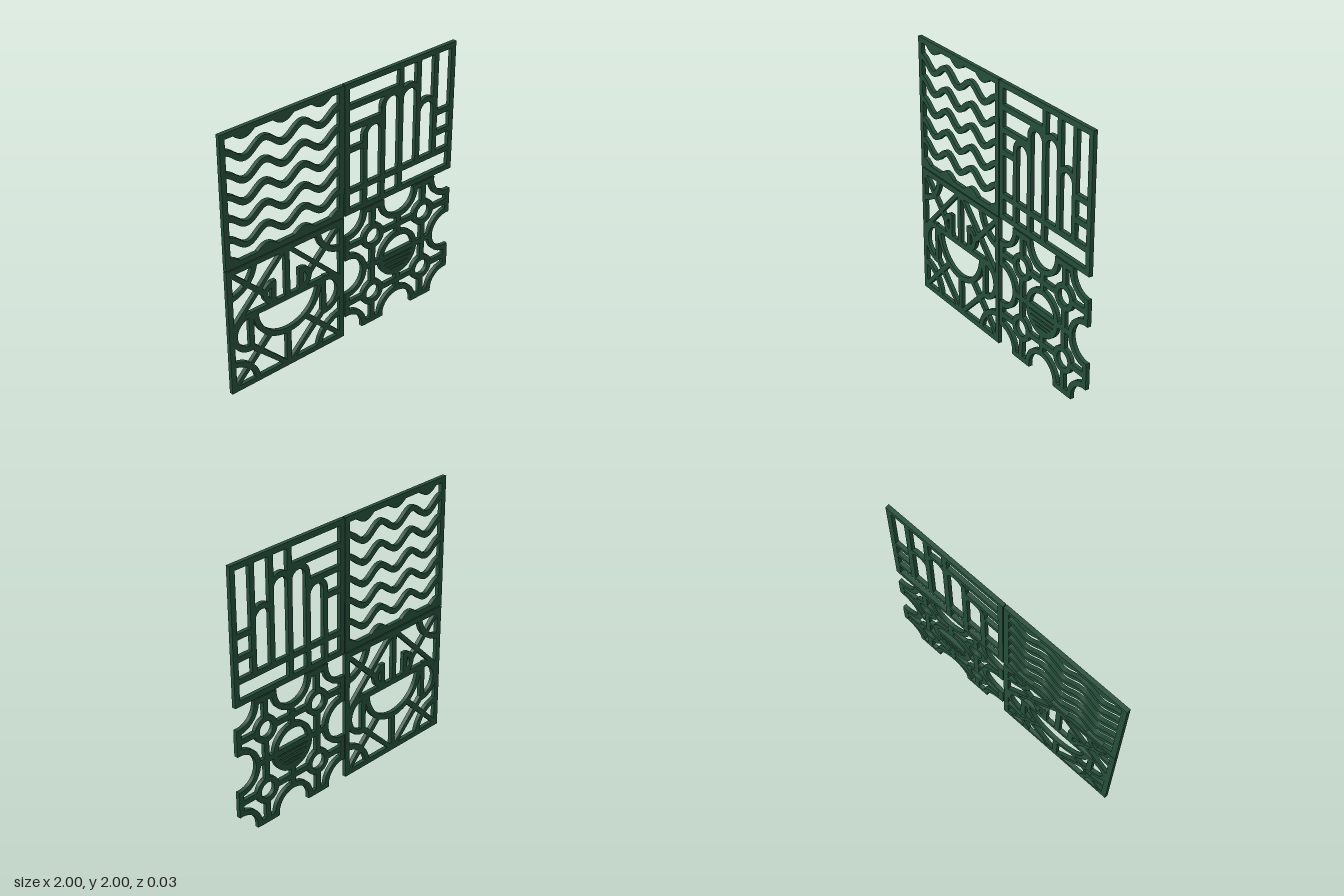
import * as THREE from 'three';

const H = 0.498;      // half size of one panel
const W = 0.042;      // strip width
const DEPTH = 0.03;   // panel thickness
const PI = Math.PI;

export function createModel() {
  const model = new THREE.Group();
  const green = new THREE.MeshStandardMaterial({ color: 0x254d39 });

  const panel = (name, sx, sy) => {
    const g = new THREE.Group();
    g.name = name;
    g.position.set(sx * 0.502, 1 + sy * 0.502, 0);
    model.add(g);
    return g;
  };

  // Flat strip of even width along a centreline, trimmed to the panel edge
  const strip = (parent, name, pts, limit = H, width = W) => {
    const left = [], right = [];
    const clamp = v => THREE.MathUtils.clamp(v, -limit, limit);
    pts.forEach(([x, y], i) => {
      const a = pts[Math.max(i - 1, 0)], b = pts[Math.min(i + 1, pts.length - 1)];
      const dx = b[0] - a[0], dy = b[1] - a[1], k = width / 2 / Math.hypot(dx, dy);
      left.push(new THREE.Vector2(clamp(x - dy * k), clamp(y + dx * k)));
      right.unshift(new THREE.Vector2(clamp(x + dy * k), clamp(y - dx * k)));
    });
    const geo = new THREE.ExtrudeGeometry(new THREE.Shape([...left, ...right]), { depth: DEPTH, bevelEnabled: false });
    geo.translate(0, 0, -DEPTH / 2);
    const mesh = new THREE.Mesh(geo, green);
    mesh.name = name;
    parent.add(mesh);
  };
  const bar = (parent, name, x0, y0, x1, y1, width) => strip(parent, name, [[x0, y0], [x1, y1]], H, width);
  const arc = (parent, name, cx, cy, r, a0, a1) => {
    const n = Math.ceil((a1 - a0) * 9), pts = [];
    for (let i = 0; i <= n; i++) {
      const a = a0 + (a1 - a0) * i / n;
      pts.push([cx + r * Math.cos(a), cy + r * Math.sin(a)]);
    }
    strip(parent, name, pts);
  };
  const ring = (parent, name, cx, cy, r) => {
    const s = new THREE.Shape().absarc(cx, cy, r + W / 2, 0, 2 * PI);
    s.holes.push(new THREE.Path().absarc(cx, cy, r - W / 2, 0, 2 * PI, true));
    const geo = new THREE.ExtrudeGeometry(s, { depth: DEPTH, bevelEnabled: false, curveSegments: 48 });
    geo.translate(0, 0, -DEPTH / 2);
    const mesh = new THREE.Mesh(geo, green);
    mesh.name = name;
    parent.add(mesh);
  };
  const frame = (parent) => {
    const e = H - W / 2;
    for (const s of [-1, 1]) {
      bar(parent, 'frameRail', -H, s * e, H, s * e);
      bar(parent, 'frameStile', s * e, -H, s * e, H);
    }
  };

  // Wave panel; the outermost waves only peek out of the frame
  const waves = panel('wavePanel', -1, 1);
  frame(waves);
  for (let k = -3; k <= 3; k++) {
    const pts = [];
    for (let i = 0; i <= 120; i++) {
      const x = -0.48 + 0.96 * i / 120;
      pts.push([x, k * 0.159 - 0.042 * Math.cos(2 * PI * x / 0.31)]);
    }
    strip(waves, 'wave', pts, H - 0.008);
  }

  // Arch panel on a regular grid
  const arches = panel('archPanel', 1, 1);
  frame(arches);
  const u = 0.16;
  bar(arches, 'lowerRail', -0.48, -2 * u, 0.48, -2 * u);
  for (const [x, y0, y1] of [[-2 * u, -0.48, 0.06], [-u, -0.48, 0.22], [0, -0.48, 0.48],
    [u, -2 * u, 0.48], [2 * u, -2 * u, 0.48]]) bar(arches, 'upright', x, y0, x, y1);
  for (const [y, x0, x1] of [[2 * u, -0.48, 0], [u, -0.48, -u], [0, -0.48, -2 * u],
    [0, 2 * u, 0.48], [-u, 2 * u, 0.48]]) bar(arches, 'crossbar', x0, y, x1, y);
  for (const [x, y] of [[-0.24, 0.06], [-0.08, 0.22], [0.08, 0.22], [0.24, 0.06]])
    arc(arches, 'arch', x, y, 0.08, 0, PI);

  // Bowl panel with mirrored diagonals, handles and corner arcs
  const bowl = panel('bowlPanel', -1, -1);
  frame(bowl);
  bar(bowl, 'bowlRim', -0.37, 0.08, 0.37, 0.08);
  arc(bowl, 'bowlBody', 0, 0.08, 0.274, PI, 2 * PI);
  bar(bowl, 'upperPost', 0, 0.08, 0, 0.48);
  bar(bowl, 'lowerPost', 0, -0.194, 0, -0.48);
  for (const s of [-1, 1]) {
    const a = s < 0 ? PI / 2 : -PI / 2;
    arc(bowl, 'handle', s * 0.313, -0.053, 0.139, a, a + PI);
    bar(bowl, 'handlePost', s * 0.313, -0.19, s * 0.313, 0.08);
    arc(bowl, 'curl', s * 0.118, 0.178, 0.069, a - (s > 0 ? 0.35 : 0), a + PI + (s < 0 ? 0.35 : 0));
    bar(bowl, 'curlPost', s * 0.118, 0.09, s * 0.118, 0.267);
    bar(bowl, 'upperDiagonal', s * 0.49, 0.49, s * 0.178, 0.178);
    bar(bowl, 'lowerDiagonal', s * 0.49, -0.49, s * 0.15, -0.15);
    bar(bowl, 'upperBrace', 0, 0.495, s * 0.495, 0);
    bar(bowl, 'lowerBrace', 0, -0.495, s * 0.315, -0.18);
    for (const t of [-1, 1]) {
      const mid = Math.atan2(-t, -s);
      arc(bowl, 'cornerArc', s * H, t * H, 0.23, mid - PI / 4, mid + PI / 4);
    }
  }

  // Ring lattice: large and small rings alternate, joined by bars
  const lattice = panel('latticePanel', 1, -1);
  const p = 0.477, h = p / 2, R = 0.16, r = 0.08;
  for (let i = -1; i <= 1; i++) for (let j = -1; j <= 1; j++) {
    if (!i && !j) { ring(lattice, 'centreRing', 0, 0, R); continue; }
    const mid = Math.atan2(-j, -i), half = (i && j ? PI / 4 : PI / 2) + 0.13;
    arc(lattice, 'edgeRing', i * p, j * p, R, mid - half, mid + half);
  }
  for (const i of [-1, 1]) for (const j of [-1, 1]) ring(lattice, 'smallRing', i * h, j * h, r);
  const both = (at, from, to) => {
    bar(lattice, 'latticeBar', from, at, to, at);
    bar(lattice, 'latticeBar', at, from, at, to);
  };
  for (const at of [-p, 0, p]) {
    both(at, -p + R, -R);
    both(at, R, p - R);
  }
  for (const at of [-h, h]) {
    both(at, -p - W / 2, -h - r);
    both(at, -h + r, h - r);
    both(at, h + r, p + W / 2);
  }
  // Centre bar and the thinning slats below it
  bar(lattice, 'centreBar', -R, 0, R, 0);
  for (const [y, w] of [[-0.043, 0.028], [-0.08, 0.025], [-0.109, 0.02], [-0.133, 0.017]]) {
    const x = Math.sqrt(R * R - y * y);
    bar(lattice, 'slat', -x, y, x, y, w);
  }
  return model;
}
